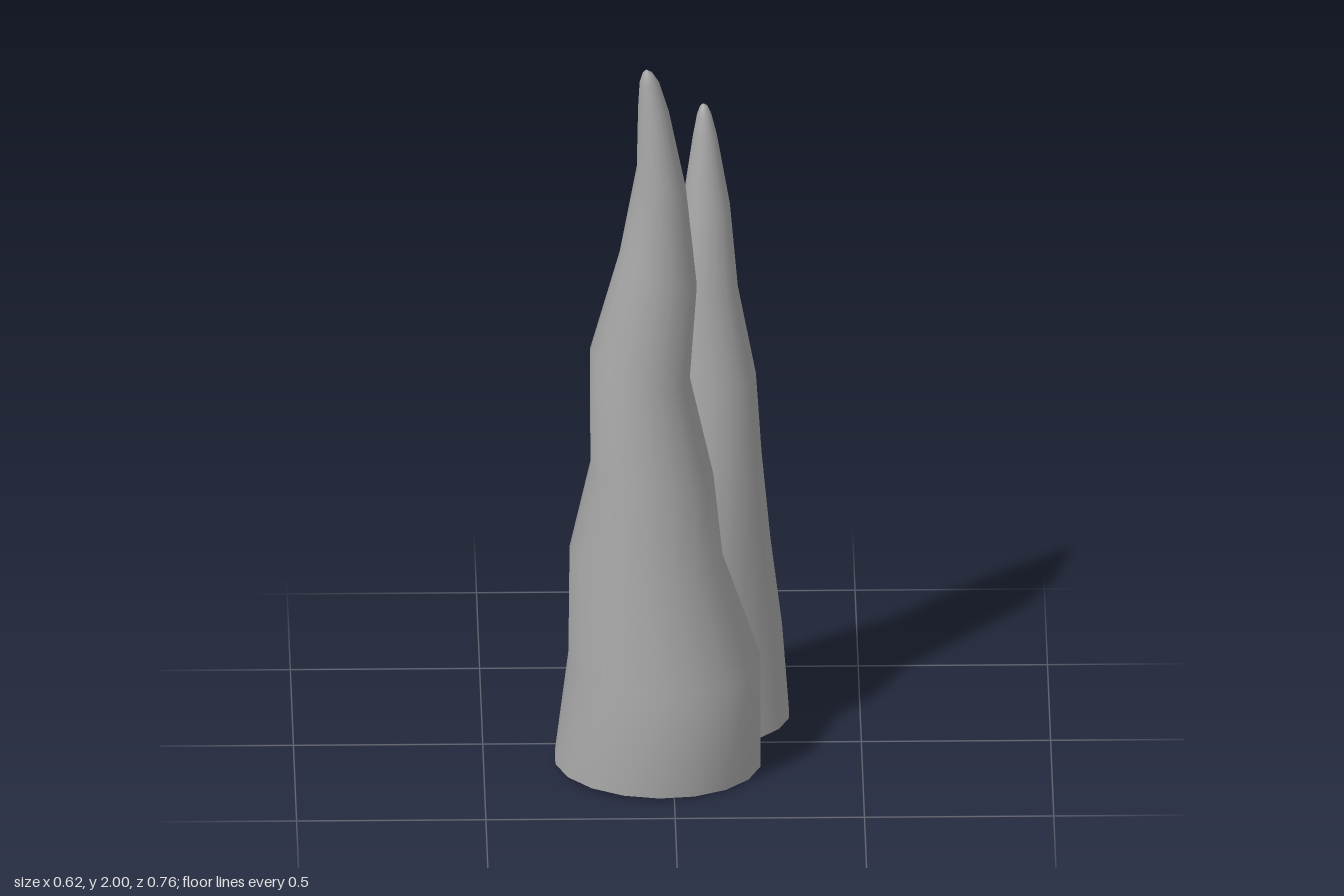
import * as THREE from 'three';

const SIDES = 18;

// Cross-sections from bottom to tip: [y, centre x, centre z, radius x, radius z, tilt (dy/dx)]
const TALL = [
  [0.008, -0.04, 0.115, 0.275, 0.265, -0.02],
  [0.30, -0.022, 0.125, 0.257, 0.256, -0.02],
  [0.59, -0.07, 0.105, 0.205, 0.2, -0.06],
  [0.84, -0.055, 0.128, 0.165, 0.165, -0.12],
  [1.14, -0.087, 0.11, 0.133, 0.13, -0.3],
  [1.41, -0.038, 0.097, 0.103, 0.098, -0.45],
  [1.68, -0.03, 0.122, 0.066, 0.072, -0.5],
  [1.88, -0.051, 0.118, 0.041, 0.047, -0.2],
  [1.96, -0.062, 0.126, 0.026, 0.028, 0],
  [1.99, -0.067, 0.13, 0.013, 0.013, 0],
  [2.0, -0.07, 0.13, 0, 0, 0],
];
const SHORT = [
  [0.022, 0.08, -0.155, 0.235, 0.224, 0],
  [0.26, 0.077, -0.165, 0.22, 0.21, 0],
  [0.53, 0.088, -0.108, 0.177, 0.178, 0],
  [0.78, 0.098, -0.108, 0.143, 0.143, 0],
  [1.02, 0.11, -0.088, 0.115, 0.113, 0],
  [1.27, 0.085, -0.096, 0.092, 0.085, 0],
  [1.50, 0.092, -0.115, 0.064, 0.065, 0],
  [1.70, 0.089, -0.121, 0.032, 0.034, 0],
  [1.76, 0.087, -0.124, 0.019, 0.02, 0],
  [1.783, 0.086, -0.125, 0.01, 0.01, 0],
  [1.79, 0.085, -0.126, 0, 0, 0],
];

function ringPoints([y, cx, cz, rx, rz, tilt]) {
  return Array.from({ length: SIDES }, (_, i) => {
    const a = (i / SIDES) * Math.PI * 2;
    const dx = Math.sin(a) * rx;
    return [cx + dx, y + dx * tilt, cz + Math.cos(a) * rz];
  });
}

function build(points, index) {
  const g = new THREE.BufferGeometry();
  g.setAttribute('position', new THREE.Float32BufferAttribute(points.flat(), 3));
  g.setIndex(index);
  g.computeVertexNormals();
  return g;
}

// Smooth tapering wall joined through all the sections
function wall(sections) {
  const points = sections.flatMap(ringPoints);
  const index = [];
  for (let r = 0; r < sections.length - 1; r++) {
    for (let i = 0; i < SIDES; i++) {
      const j = (i + 1) % SIDES;
      const a = r * SIDES + i, b = r * SIDES + j;
      const c = a + SIDES, d = b + SIDES;
      index.push(a, b, d);
      if (r < sections.length - 2) index.push(a, d, c);
      else index.splice(-3, 3, a, b, c);
    }
  }
  return build(points, index);
}

// Flat underside with its own normals
function base(section) {
  const points = ringPoints(section);
  const index = [];
  for (let i = 1; i < SIDES - 1; i++) index.push(0, i + 1, i);
  return build(points, index);
}

export function createModel() {
  const stone = new THREE.MeshStandardMaterial({ color: 0xa6a6a6 });
  stone.name = 'grey stone';

  const model = new THREE.Group();
  model.name = 'stalagmites';
  for (const [name, sections] of [['tallSpire', TALL], ['shortSpire', SHORT]]) {
    const spire = new THREE.Group();
    spire.name = name;
    const side = new THREE.Mesh(wall(sections), stone);
    side.name = name + 'Wall';
    const bottom = new THREE.Mesh(base(sections[0]), stone);
    bottom.name = name + 'Base';
    spire.add(side, bottom);
    model.add(spire);
  }
  return model;
}
